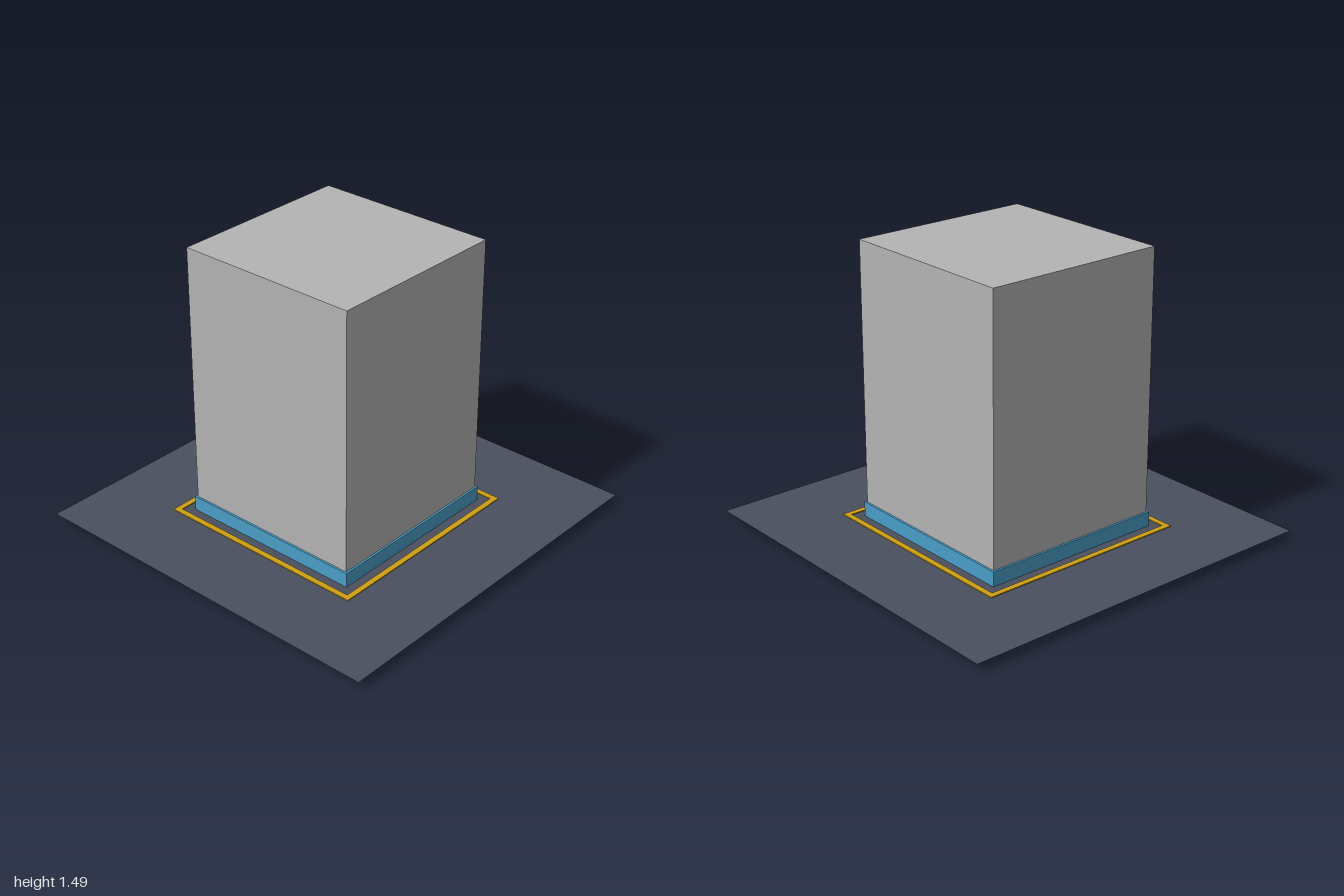
import * as THREE from 'three';

const OFFSET = -0.005; // the tower sits slightly off the ground's centre

function mat(color, extra = {}) {
  return new THREE.MeshStandardMaterial({ color, ...extra });
}

function block(name, width, bottom, top, color) {
  const mesh = new THREE.Mesh(new THREE.BoxGeometry(width, top - bottom, width), mat(color));
  mesh.name = name;
  mesh.position.set(OFFSET, (bottom + top) / 2, OFFSET);
  return mesh;
}

function square(Type, half) {
  return new Type([[-half, -half], [half, -half], [half, half], [-half, half]]
    .map(([x, y]) => new THREE.Vector2(x, y)));
}

export function createModel() {
  const model = new THREE.Group();
  model.name = 'towerOnPlot';

  // Flat sheet of ground, cutting through the plinth
  const ground = new THREE.Mesh(
    new THREE.PlaneGeometry(2, 2).rotateX(-Math.PI / 2),
    mat(0x4a5060, { side: THREE.DoubleSide }));
  ground.name = 'ground';
  ground.position.y = 0.045;
  model.add(ground);

  // Thin square border line, showing on both sides of the ground
  const outline = square(THREE.Shape, 0.58);
  outline.holes.push(square(THREE.Path, 0.55));
  const border = new THREE.Mesh(
    new THREE.ExtrudeGeometry(outline, { depth: 0.01, bevelEnabled: false }).rotateX(-Math.PI / 2),
    mat(0xd0a010));
  border.name = 'borderLine';
  border.position.set(OFFSET, 0.04, OFFSET);
  model.add(border);

  // Plinth and the tower standing on it
  model.add(block('plinth', 1.005, 0, 0.122, 0x4a9fc8));
  model.add(block('tower', 0.984, 0.122, 1.488, 0xb4b4b4));

  return model;
}
